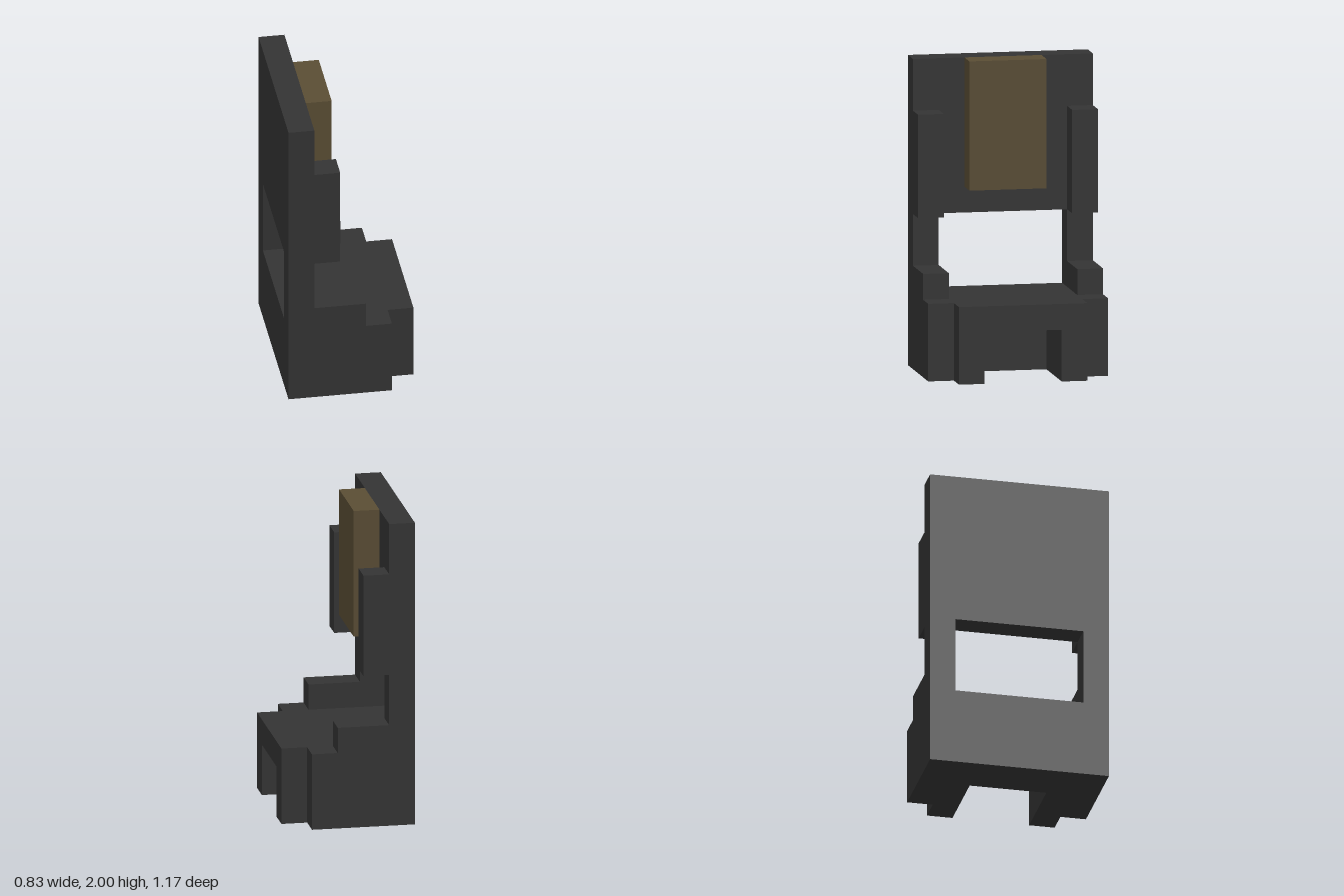
import * as THREE from 'three';

const U = 1 / 12; // all dimensions are whole multiples of this unit

export function createModel() {
  const model = new THREE.Group();
  model.name = 'blockyChair';

  const charcoal = new THREE.MeshStandardMaterial({ color: 0x343434 });
  charcoal.name = 'charcoal';
  const brown = new THREE.MeshStandardMaterial({ color: 0x5a4d34 });
  brown.name = 'cushionBrown';

  const add = (name, geometry, material = charcoal) => {
    const mesh = new THREE.Mesh(geometry, material);
    mesh.name = name;
    model.add(mesh);
    return mesh;
  };

  // Box from its minimum and maximum corners, in units
  const block = (name, [x0, y0, z0], [x1, y1, z1], material) =>
    add(name, new THREE.BoxGeometry((x1 - x0) * U, (y1 - y0) * U, (z1 - z0) * U), material)
      .position.set((x0 + x1) * U / 2, (y0 + y1) * U / 2, (z0 + z1) * U / 2);

  const points = (list) => list.map(([a, b]) => new THREE.Vector2(a * U, b * U));

  // Horizontal slab from a plan outline of (x, z) points
  const slab = (name, outline, y0, y1) => {
    const shape = new THREE.Shape(points(outline.map(([x, z]) => [x, -z])));
    const geometry = new THREE.ExtrudeGeometry(shape, { depth: (y1 - y0) * U, bevelEnabled: false });
    add(name, geometry.rotateX(-Math.PI / 2)).position.y = y0 * U;
  };

  // Tall back panel with a window above the seat
  const panel = new THREE.Shape(points([[-7, 0], [7, 0], [7, 24], [-7, 24]]));
  panel.holes.push(new THREE.Path(points([[-5, 6], [-5, 12], [5, 12], [5, 6]])));
  const panelGeometry = new THREE.ExtrudeGeometry(panel, { depth: 2 * U, bevelEnabled: false });
  add('backPanel', panelGeometry.rotateY(Math.PI / 2)).position.x = -5 * U;

  // Stepped base: lower part has a recess open to the seat's front edge
  const sideEdge = [[-3, 7], [3, 7], [3, 5], [5, 5]];
  const mirrored = sideEdge.map(([x, z]) => [x, -z]).reverse();
  const recess = [[5, 3], [-1, 3], [-1, -3], [5, -3]];
  slab('lowerBase', [...sideEdge, ...recess, ...mirrored], 0, 4);
  slab('seat', [...sideEdge, ...mirrored], 4, 6);

  // Armrests and upper side wings
  for (const s of [-1, 1]) {
    const z0 = s > 0 ? 5 : -7;
    block('armrest', [-3, 6, z0], [1, 8, z0 + 2]);
    block('sideWing', [-3, 12, z0], [-1, 20, z0 + 2]);
  }

  // Back cushion
  block('backCushion', [-3, 14, -3], [-1, 24, 3], brown);

  return model;
}
